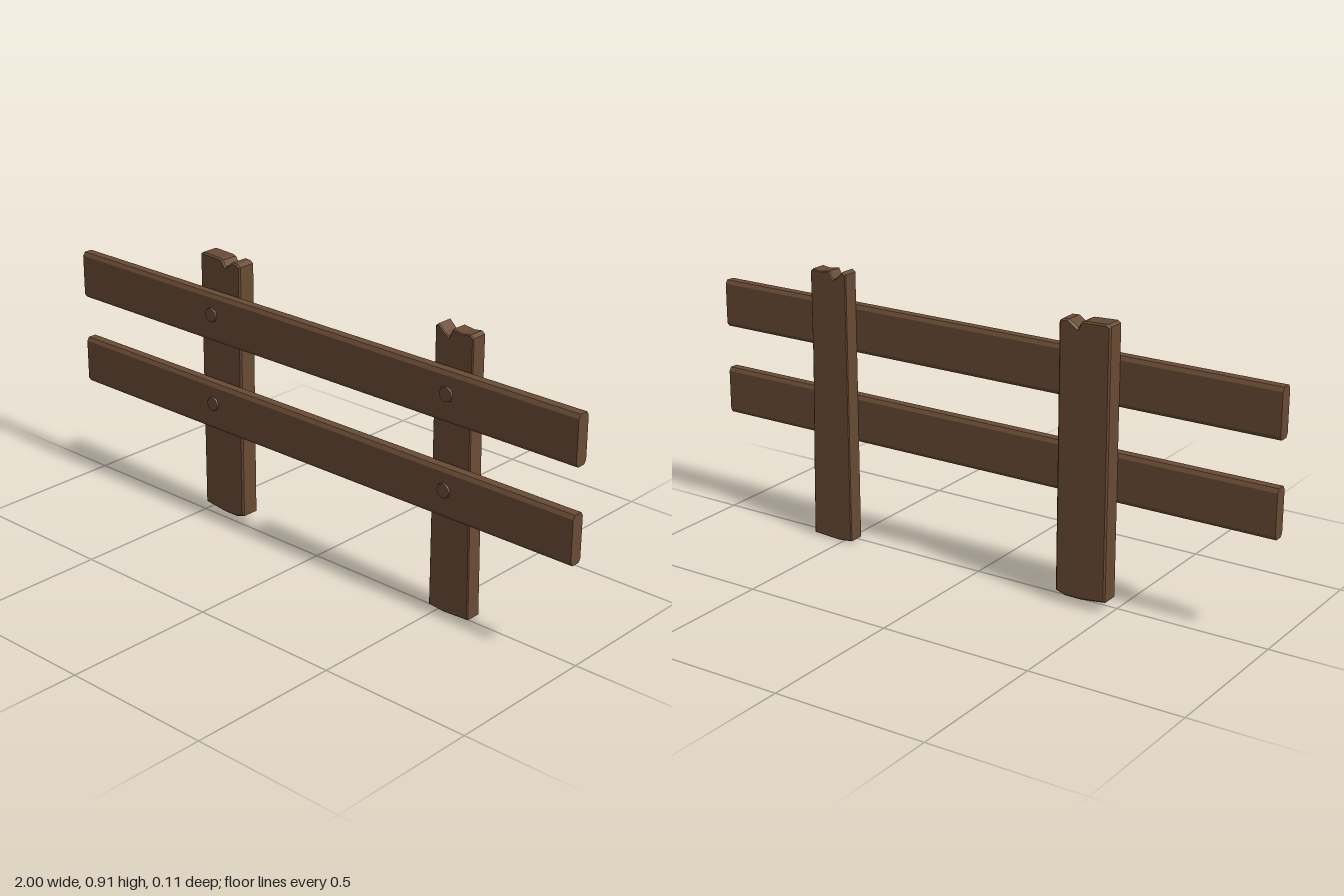
import * as THREE from 'three';

const wood = new THREE.MeshStandardMaterial({ color: 0x694b34 });
wood.name = 'brown wood';

// Chamfered plank from an outline, spanning zBack to zFront
function plank(points, zBack, zFront, bevel) {
  const shape = new THREE.Shape(points.map(([x, y]) => new THREE.Vector2(x, y)));
  const geo = new THREE.ExtrudeGeometry(shape, {
    depth: zFront - zBack - 2 * bevel,
    bevelEnabled: true, bevelSegments: 1,
    bevelSize: bevel, bevelThickness: bevel, bevelOffset: -bevel,
  });
  return geo.translate(0, 0, zBack + bevel);
}

export function createModel() {
  const group = new THREE.Group();
  const add = (name, geo) => {
    const mesh = new THREE.Mesh(geo, wood);
    mesh.name = name;
    group.add(mesh);
    return mesh;
  };

  // Upright posts with chipped tops and worn feet
  add('rightPost', plank([
    [-0.487, 0.036], [-0.445, 0.031], [-0.40, 0.026], [-0.35, 0.027], [-0.315, 0.037],
    [-0.315, 0.885], [-0.326, 0.893], [-0.348, 0.894], [-0.36, 0.886], [-0.378, 0.872],
    [-0.39, 0.892], [-0.402, 0.896], [-0.477, 0.899], [-0.487, 0.892],
  ], -0.055, 0.01, 0.005));
  add('leftPost', plank([
    [0.467, 0.008], [0.52, 0.002], [0.616, 0.007], [0.613, 0.2], [0.604, 0.6],
    [0.604, 0.892], [0.594, 0.901], [0.566, 0.897], [0.53, 0.902], [0.517, 0.876],
    [0.5, 0.886], [0.478, 0.907], [0.467, 0.898],
  ], -0.043, 0.012, 0.003));

  // Horizontal rails: chamfered profile extruded along x
  const c = 0.008, z0 = 0.008, z1 = 0.052, h = 0.078;
  const profile = new THREE.Shape([
    [z0 + c, -h], [z1 - c, -h], [z1, -h + 1.5 * c], [z1, h - 1.5 * c],
    [z1 - c, h], [z0 + c, h], [z0, h - 1.5 * c], [z0, -h + 1.5 * c],
  ].map(([z, y]) => new THREE.Vector2(-z, y)));
  for (const [name, y] of [['lowerRail', 0.413], ['upperRail', 0.712]]) {
    const rail = new THREE.ExtrudeGeometry(profile, { depth: 2, bevelEnabled: false });
    rail.translate(0, 0, -1).rotateY(Math.PI / 2);
    add(name, rail).position.y = y;
  }

  // Peg heads where the rails meet the posts
  for (const [x, y] of [[-0.4, 0.722], [-0.4, 0.422], [0.545, 0.722], [0.545, 0.422]]) {
    const peg = new THREE.CylinderGeometry(0.023, 0.027, 0.014, 8);
    peg.rotateX(Math.PI / 2);
    add('peg', peg.toNonIndexed()).position.set(x, y, 0.05);
  }
  return group;
}
